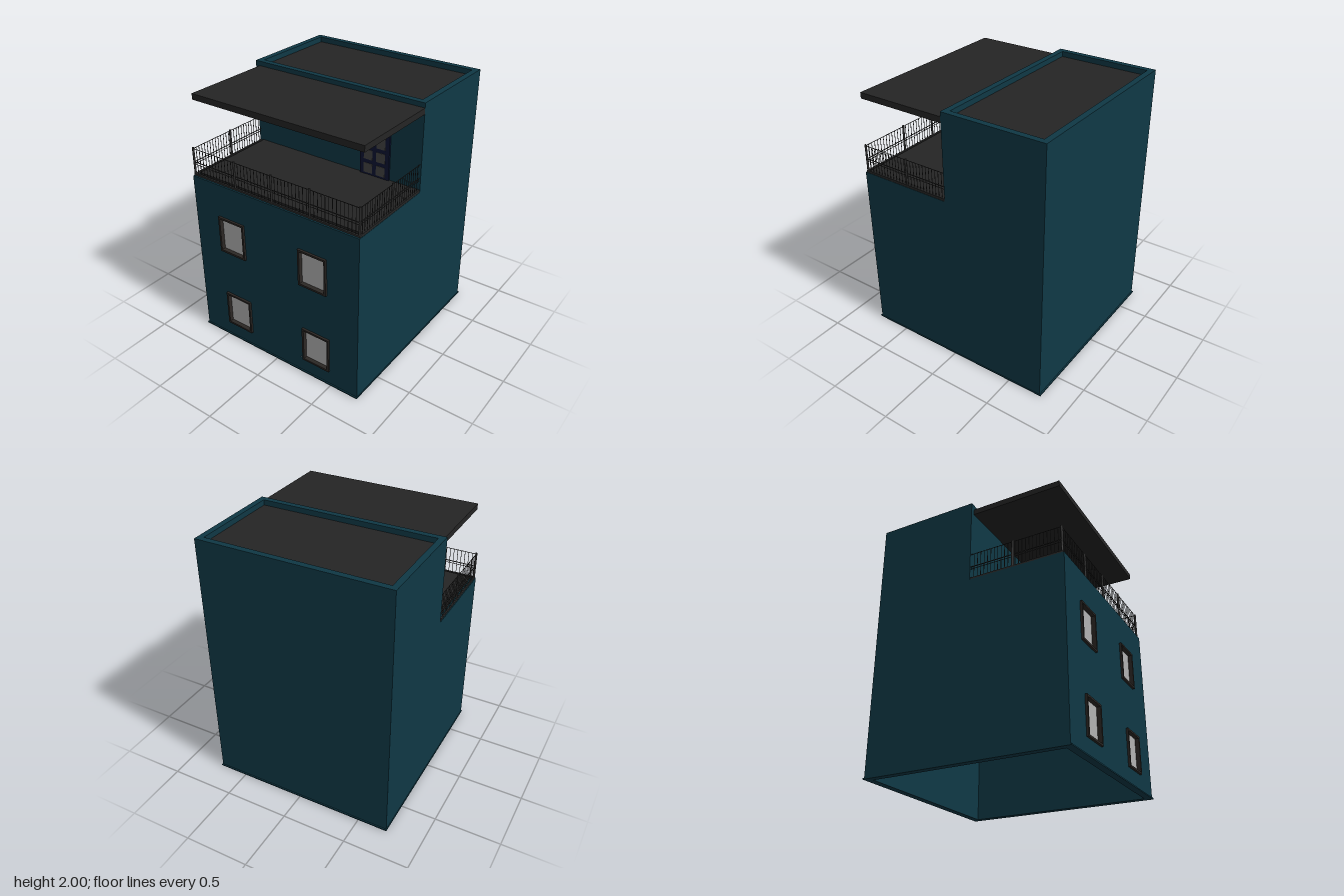
import * as THREE from 'three';

const mat = (color, side = THREE.FrontSide) => new THREE.MeshStandardMaterial({ color, side });

export function createModel() {
  const house = new THREE.Group();
  house.name = 'house';
  const teal = mat(0x0f3845), dark = mat(0x242424), metal = mat(0x2c2c2c);
  const frameMat = mat(0x2b2724), glass = mat(0xb2b2b2), navy = mat(0x0b1433), panel = mat(0x444444);

  const W = 0.725, D = 0.765, T = 0.045; // half width, half depth, wall thickness
  const TERRACE = 1.34, TOP = 2, STEP = 0.03; // terrace height, roof height, upper front wall

  const add = (name, geometry, material, parent = house) => {
    const mesh = new THREE.Mesh(geometry, material);
    mesh.name = name;
    parent.add(mesh);
    return mesh;
  };
  // Box given by its lower and upper corners
  const box = (name, material, [x0, y0, z0], [x1, y1, z1], parent = house) => {
    const mesh = add(name, new THREE.BoxGeometry(x1 - x0, y1 - y0, z1 - z0), material, parent);
    mesh.position.set((x0 + x1) / 2, (y0 + y1) / 2, (z0 + z1) / 2);
    return mesh;
  };
  const rectangle = (x0, y0, x1, y1, Type = THREE.Shape) =>
    new Type([[x0, y0], [x1, y0], [x1, y1], [x0, y1]].map(p => new THREE.Vector2(...p)));
  const extrude = (shape, depth) => new THREE.ExtrudeGeometry(shape, { depth, bevelEnabled: false });

  // Windows: [left, bottom, right, top]
  const windows = [
    [-0.475, 0.13, -0.245, 0.41], [0.255, 0.13, 0.485, 0.41],
    [-0.49, 0.795, -0.26, 1.08], [0.235, 0.795, 0.465, 1.08],
  ];

  // Front wall with window openings
  const front = rectangle(-W, 0, W, TERRACE);
  windows.forEach(w => front.holes.push(rectangle(...w, THREE.Path)));
  add('frontWall', extrude(front, T), teal).position.z = D - T;

  // Stepped side walls, drawn in (-z, y) and turned to face sideways
  const profile = new THREE.Shape([
    [-D + T, 0], [D - T, 0], [D - T, TOP], [-STEP + T, TOP], [-STEP + T, TERRACE], [-D + T, TERRACE],
  ].map(p => new THREE.Vector2(...p)));
  for (const [name, x] of [['leftWall', W - T], ['rightWall', -W]]) {
    const wall = add(name, extrude(profile, T), teal);
    wall.rotation.y = Math.PI / 2;
    wall.position.x = x;
  }
  box('backWall', teal, [-W, 0, -D], [W, TOP, -D + T]);
  box('upperFrontWall', teal, [-W, TERRACE - 0.04, STEP - T], [W, TOP, STEP]);

  // Thin plinth around the open base, and the storey ledge inside the front wall
  const plinth = rectangle(-W - 0.005, -D - 0.01, W + 0.005, D + 0.01);
  plinth.holes.push(rectangle(-W + T, -D + T, W - T, D - T, THREE.Path));
  add('plinth', extrude(plinth, 0.01), teal).rotation.x = -Math.PI / 2;
  box('storeyLedge', dark, [-W + T, 0.67, D - T - 0.015], [W - T, 0.685, D - T]);

  // Roof, terrace floor and canopy slabs
  box('roof', dark, [-W + T, 1.92, -D + T], [W - T, 1.96, STEP - T]);
  box('terraceFloor', dark, [-0.69, 1.32, STEP], [W - 0.002, 1.36, 0.725]);
  box('canopy', dark, [-0.69, 1.92, STEP], [W, 1.965, 0.73]);

  // Window frames and panes
  windows.forEach(([x0, y0, x1, y1]) => {
    const group = new THREE.Group();
    group.name = 'window';
    house.add(group);
    const e = 0.012;
    const ring = rectangle(x0 - 0.003, y0 - 0.003, x1 + 0.003, y1 + 0.003);
    ring.holes.push(rectangle(x0 + e, y0 + e, x1 - e, y1 - e, THREE.Path));
    add('windowFrame', extrude(ring, T + 0.025), frameMat, group).position.z = D - T - 0.008;
    box('windowPane', glass, [x0 + e, y0 + e, D - 0.025], [x1 - e, y1 - e, D - 0.015], group);
  });

  // Terrace door with six panels
  const door = new THREE.Group();
  door.name = 'door';
  house.add(door);
  box('doorLeaf', navy, [0.235, 1.355, STEP], [0.477, 1.725, STEP + 0.014], door);
  for (const x of [0.268, 0.372]) {
    for (const [y0, y1] of [[1.375, 1.45], [1.48, 1.555], [1.585, 1.69]]) {
      box('doorPanel', panel, [x, y0, STEP + 0.01], [x + 0.072, y1, STEP + 0.017], door);
    }
  }

  // One straight railing run; bars and posts stand between its two ends
  const RX = 0.714, RZ = 0.748, RTOP = 1.555;
  const railing = (name, from, to, bars, posts) => {
    const group = new THREE.Group();
    group.name = name;
    house.add(group);
    const at = t => from.map((v, i) => v + (to[i] - v) * t);
    const bar = (label, t, r, top) => {
      const [x, z] = at(t);
      box(label, metal, [x - r, TERRACE, z - r], [x + r, top, z + r], group);
    };
    for (let i = 1; i < bars; i++) bar('baluster', i / bars, 0.0016, RTOP - 0.003);
    posts.forEach(t => {
      const [x, z] = at(t);
      add('railingPost', new THREE.CylinderGeometry(0.008, 0.008, RTOP + 0.005 - TERRACE, 10), metal, group)
        .position.set(x, (RTOP + 0.005 + TERRACE) / 2, z);
    });
    const rails = [[1.349, 0.007], [1.43, 0.0016], [1.448, 0.0025], [RTOP - 0.003, 0.0018]];
    for (const [y, r] of rails) {
      box('rail', metal,
        [Math.min(from[0], to[0]) - r, y - r, Math.min(from[1], to[1]) - r],
        [Math.max(from[0], to[0]) + r, y + r, Math.max(from[1], to[1]) + r], group);
    }
  };
  railing('frontRailing', [-RX, RZ], [RX, RZ], 48, [0, 0.27, 0.5, 0.725, 1]);
  for (const s of [-1, 1]) {
    railing(s > 0 ? 'leftRailing' : 'rightRailing', [s * RX, STEP], [s * RX, RZ], 26, [0.475]);
  }

  return house;
}
